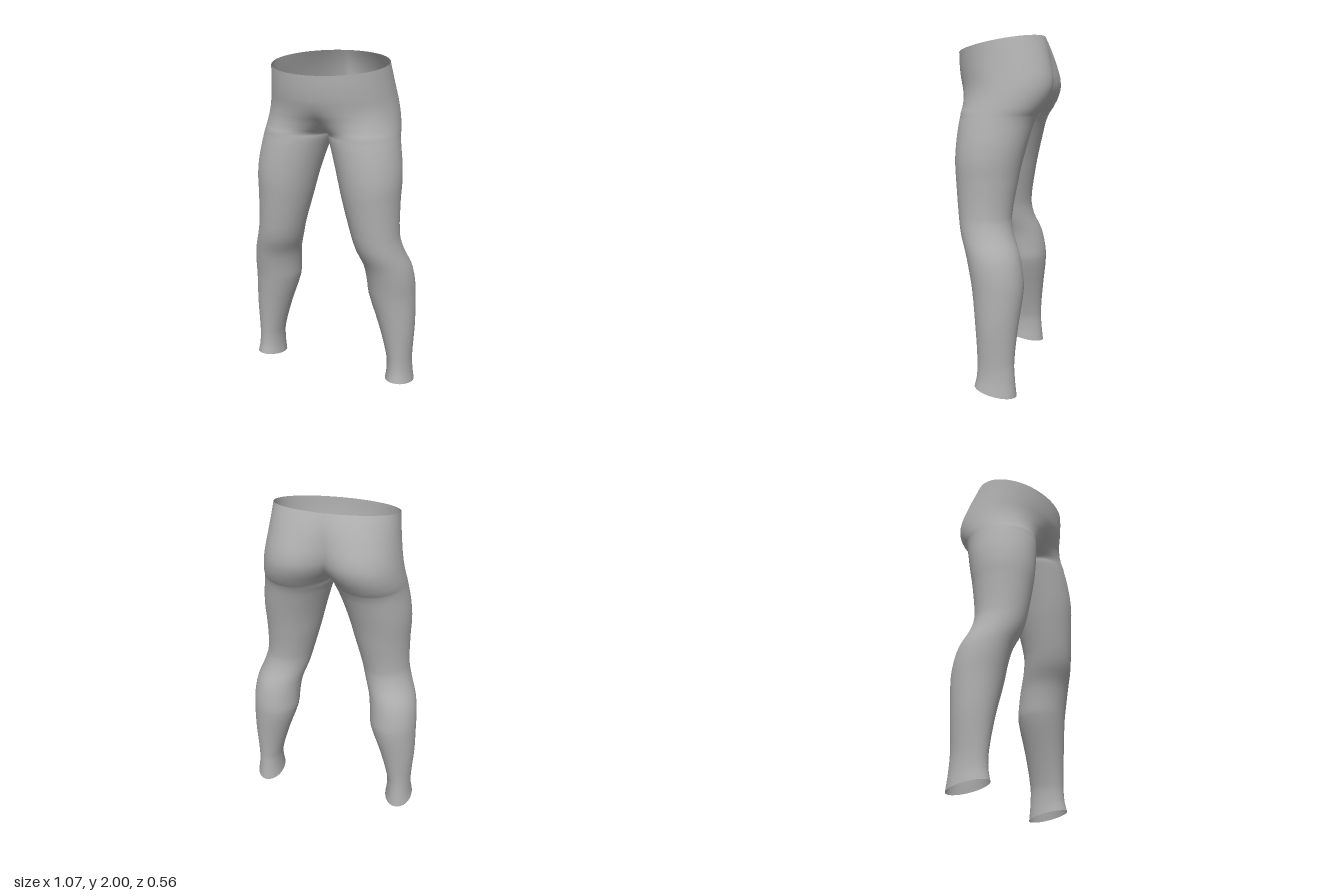
import * as THREE from 'three';
import { mergeVertices } from 'three/addons/utils/BufferGeometryUtils.js';

// Leg cross-sections: height, outer x, inner x, front z, back z
const LEG = [
  [0.025, 0.537, 0.363, 0.100, -0.140],
  [0.10, 0.525, 0.370, 0.087, -0.130],
  [0.20, 0.521, 0.365, 0.084, -0.125],
  [0.40, 0.530, 0.310, 0.100, -0.142],
  [0.60, 0.526, 0.243, 0.125, -0.165],
  [0.70, 0.521, 0.234, 0.143, -0.157],
  [0.80, 0.504, 0.220, 0.167, -0.135],
  [0.90, 0.466, 0.185, 0.203, -0.095],
  [1.00, 0.442, 0.158, 0.222, -0.080],
  [1.20, 0.437, 0.103, 0.243, -0.110],
  [1.30, 0.440, 0.078, 0.250, -0.130],
  [1.40, 0.433, 0.050, 0.248, -0.155],
  [1.50, 0.416, 0.018, 0.240, -0.182],
  [1.55, 0.407, 0.000, 0.233, -0.203],
];
// Hip cross-sections: height, outer x, front z, back z, front and back fullness at the centre line
const HIPS = [
  [1.575, 0.403, 0.230, -0.220, 0.35, 0.20],
  [1.60, 0.399, 0.226, -0.236, 0.60, 0.36],
  [1.65, 0.390, 0.230, -0.264, 0.80, 0.55],
  [1.70, 0.381, 0.246, -0.281, 0.92, 0.66],
  [1.75, 0.372, 0.262, -0.279, 0.98, 0.73],
  [1.80, 0.364, 0.273, -0.264, 1.00, 0.80],
  [1.88, 0.353, 0.280, -0.236, 1.00, 0.91],
  [1.953, 0.345, 0.282, -0.208, 1.00, 1.00],
];
const ROWS = [
  ...LEG.map((r) => [...r, 0, 0]),
  ...HIPS.map(([y, out, f, b, wf, wb]) => [y, out, 0, f, b, wf, wb]),
];
const SEGMENTS = 40;
const STEPS = 3;

// Smooth interpolation between neighbouring cross-sections
function rowAt(i, f) {
  const at = (k) => ROWS[THREE.MathUtils.clamp(k, 0, ROWS.length - 1)];
  const [p, a, b, n] = [at(i - 1), at(i), at(i + 1), at(i + 2)];
  const span = b[0] - a[0];
  return a.map((v, c) => {
    if (c === 0) return v + span * f;
    const m0 = ((b[c] - p[c]) / (b[0] - p[0])) * span;
    const m1 = ((n[c] - v) / (n[0] - a[0])) * span;
    const f2 = f * f, f3 = f2 * f;
    return v * (2 * f3 - 3 * f2 + 1) + m0 * (f3 - 2 * f2 + f) + b[c] * (3 * f2 - 2 * f3) + m1 * (f3 - f2);
  });
}

// Depth profile from a closed leg loop (w = 0) to an open half waist (w = 1)
const depth = (t, w) => (1 - w) * Math.sin(2 * Math.PI * t) + w * Math.cos(Math.PI * t);
function peak(w) {
  let m = 0;
  for (let k = 0; k <= 40; k++) m = Math.max(m, depth(k / 80, w));
  return m;
}

// One ring, running from the inner front round the outside to the inner back
function ring(row) {
  const [y, out, inner, front, back] = row;
  const wf = THREE.MathUtils.clamp(row[5], 0, 1);
  const wb = THREE.MathUtils.clamp(row[6], 0, 1);
  const x0 = y >= 1.55 ? 0 : Math.max(0, inner);
  const mid = (front + back) / 2, half = (front - back) / 2;
  const pf = peak(wf), pb = peak(wb);
  const tilt = 0.2 * Math.max(0, 1 - (y - 0.025) / 0.12) - 0.195 * THREE.MathUtils.smoothstep(y, 1.6, 1.95);
  const points = [];
  for (let j = 0; j <= SEGMENTS; j++) {
    const t = j / SEGMENTS;
    const w = THREE.MathUtils.lerp(wf, wb, THREE.MathUtils.smoothstep(t, 0.2, 0.8));
    const across = (1 - w) * (0.5 - 0.5 * Math.cos(2 * Math.PI * t)) + w * Math.sin(Math.PI * t);
    const z = t <= 0.5 ? depth(t, wf) / pf : -depth(1 - t, wb) / pb;
    const dz = j * 2 === SEGMENTS ? 0 : z * half;
    points.push([x0 + (out - x0) * across, y + tilt * dz, mid + dz]);
  }
  return points;
}

function buildGeometry() {
  const rings = [];
  for (let i = 0; i < ROWS.length - 1; i++) {
    for (let s = 0; s < STEPS; s++) rings.push(ring(rowAt(i, s / STEPS)));
  }
  rings.push(ring(ROWS[ROWS.length - 1]));

  const positions = [], index = [];
  const cols = SEGMENTS + 1;
  for (const side of [1, -1]) {
    const base = positions.length / 3;
    for (const r of rings) for (const [x, y, z] of r) positions.push(side * x, y, z);
    for (let i = 0; i < rings.length - 1; i++) {
      for (let j = 0; j < SEGMENTS; j++) {
        const a = base + i * cols + j, b = a + 1, c = b + cols, d = a + cols;
        if (side > 0) index.push(a, b, c, a, c, d);
        else index.push(a, c, b, a, d, c);
      }
    }
  }
  const geometry = new THREE.BufferGeometry();
  geometry.setAttribute('position', new THREE.Float32BufferAttribute(positions, 3));
  geometry.setIndex(index);
  // Join the inner-leg and centre seams so shading runs across them
  const joined = mergeVertices(geometry, 1e-5);
  joined.computeVertexNormals();
  return joined;
}

export function createModel() {
  const group = new THREE.Group();
  group.name = 'leggings';
  const fabric = new THREE.MeshStandardMaterial({ color: 0xb0b0b0, side: THREE.DoubleSide });
  fabric.name = 'grey fabric';
  const mesh = new THREE.Mesh(buildGeometry(), fabric);
  mesh.name = 'leggingsFabric';
  group.add(mesh);
  return group;
}
